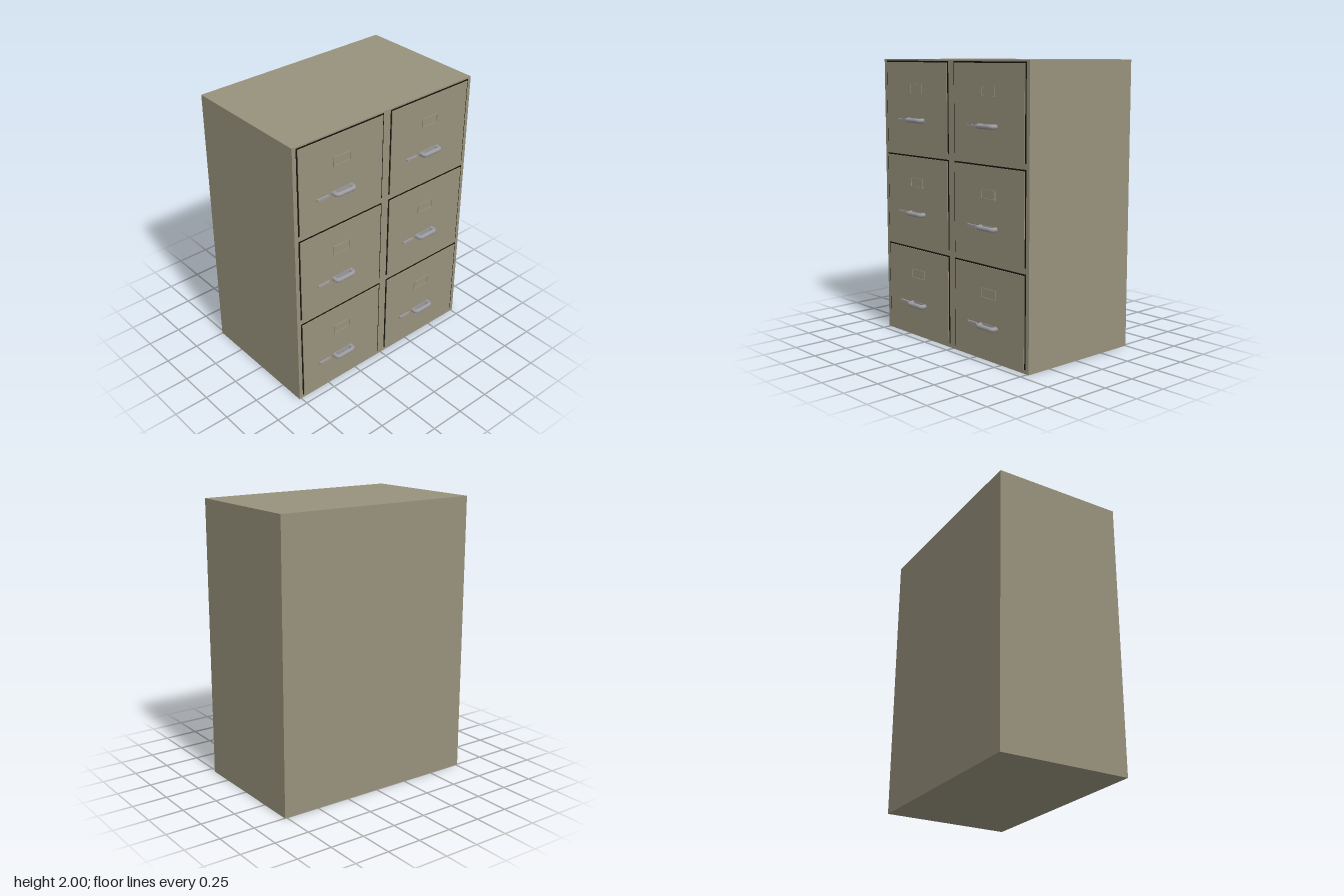
import * as THREE from 'three';

const paint = new THREE.MeshStandardMaterial({ color: 0x98927c });
const dark = new THREE.MeshStandardMaterial({ color: 0x16150f });
const metal = new THREE.MeshStandardMaterial({ color: 0x9a9a9e });

// Box given by its min and max corners
function box(name, material, [x0, y0, z0], [x1, y1, z1]) {
  const mesh = new THREE.Mesh(new THREE.BoxGeometry(x1 - x0, y1 - y0, z1 - z0), material);
  mesh.position.set((x0 + x1) / 2, (y0 + y1) / 2, (z0 + z1) / 2);
  mesh.name = name;
  return mesh;
}

const FACE = 0.44;    // cabinet face
const PANEL = 0.447;  // drawer face

// Bent pull: rounded U with its legs on the drawer face
function createHandle() {
  const group = new THREE.Group();
  group.name = 'handle';
  const out = 0.484, half = 0.074, r = 0.022;
  const path = new THREE.CurvePath();
  const v = (x, z) => new THREE.Vector3(x, 0, z);
  path.add(new THREE.LineCurve3(v(FACE, half), v(out - r, half)));
  path.add(new THREE.QuadraticBezierCurve3(v(out - r, half), v(out, half), v(out, half - r)));
  path.add(new THREE.LineCurve3(v(out, half - r), v(out, r - half)));
  path.add(new THREE.QuadraticBezierCurve3(v(out, r - half), v(out, -half), v(out - r, -half)));
  path.add(new THREE.LineCurve3(v(out - r, -half), v(FACE, -half)));
  const pull = new THREE.Mesh(new THREE.TubeGeometry(path, 48, 0.016, 12), metal);
  pull.name = 'pull';
  group.add(pull, box('handlePlate', metal, [FACE, -0.014, -0.08], [0.451, 0.014, 0.08]));
  return group;
}

// Thin card frame with an open window
function createLabelHolder() {
  const w = 0.07, h = 0.033, t = 0.005;
  const rect = (Type, a, b) => new Type([[-a, -b], [a, -b], [a, b], [-a, b]].map(p => new THREE.Vector2(...p)));
  const shape = rect(THREE.Shape, w, h);
  shape.holes.push(rect(THREE.Path, w - t, h - t));
  const geometry = new THREE.ExtrudeGeometry(shape, { depth: 0.006, bevelEnabled: false });
  geometry.rotateY(Math.PI / 2);
  const frame = new THREE.Mesh(geometry, paint);
  frame.name = 'labelHolder';
  frame.position.set(PANEL - 0.001, 0.463, 0);
  return frame;
}

// One drawer front, centred on z = 0, with y measured from the bottom of its bay
function createDrawer() {
  const group = new THREE.Group();
  group.name = 'drawer';
  const half = 0.353, y0 = 0.027, y1 = 0.655, g = 0.01;
  group.add(box('drawerFront', paint, [FACE - 0.01, y0, g - half], [PANEL, y1 - g, half - g]));

  // Shadow gap along the top and both sides
  group.add(box('topGap', dark, [FACE - 0.005, y1 - g, -half], [FACE + 0.002, y1, half]));
  for (const s of [-1, 1]) {
    const a = s * half, b = s * (half - g);
    group.add(box('sideGap', dark, [FACE - 0.005, y0, Math.min(a, b)], [FACE + 0.002, y1 - g, Math.max(a, b)]));
  }

  const handle = createHandle();
  handle.position.set(0, 0.24, -0.004);
  group.add(handle, createLabelHolder());
  // Latch lever beside the handle
  group.add(box('latch', metal, [FACE, 0.232, 0.113], [0.46, 0.246, 0.207]));
  return group;
}

export function createModel() {
  const model = new THREE.Group();
  model.name = 'filingCabinet';
  model.add(box('cabinetBody', paint, [-0.503, 0, -0.765], [FACE, 2, 0.765]));
  for (let row = 0; row < 3; row++) {
    for (const z of [-0.383, 0.383]) {
      const drawer = createDrawer();
      drawer.position.set(0, row * 0.667, z);
      model.add(drawer);
    }
  }
  return model;
}
